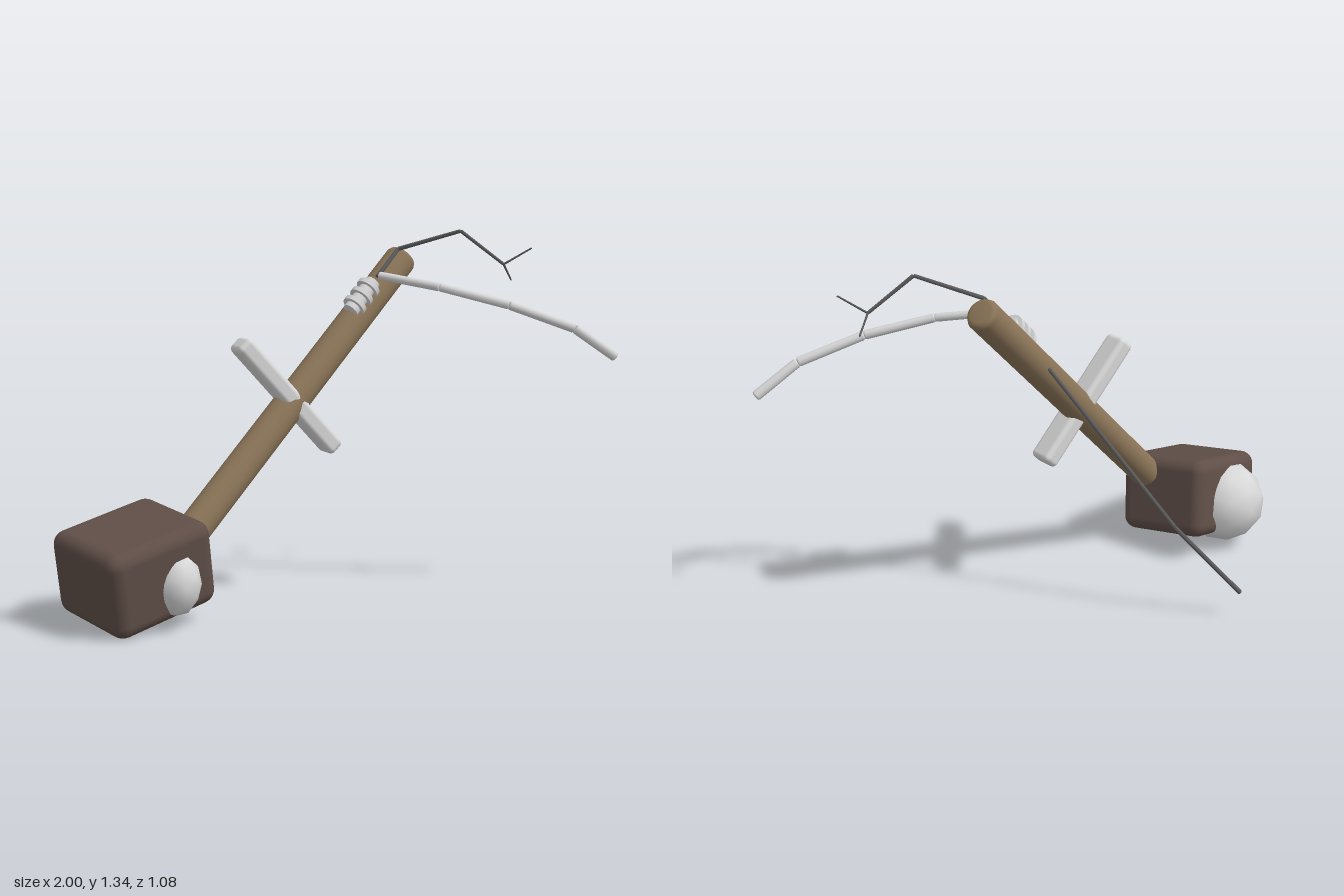
import * as THREE from 'three';
import { RoundedBoxGeometry } from 'three/addons/geometries/RoundedBoxGeometry.js';

const V = (x, y, z) => new THREE.Vector3(x, y, z);
const UP = V(0, 1, 0);

export function createModel() {
  const model = new THREE.Group();
  model.name = 'stuntedMallet';
  const mat = (name, color) => {
    const m = new THREE.MeshStandardMaterial({ color });
    m.name = name;
    return m;
  };
  const wood = mat('wood', 0x8b7558);
  const darkWood = mat('darkWood', 0x5f4e47);
  const pale = mat('pale', 0xd8d8d8);
  const darkGrey = mat('darkGrey', 0x5c5c5c);

  const add = (parent, name, geometry, material) => {
    const mesh = new THREE.Mesh(geometry, material);
    mesh.name = name;
    parent.add(mesh);
    return mesh;
  };
  const group = (name) => {
    const g = new THREE.Group();
    g.name = name;
    model.add(g);
    return g;
  };

  // Round rod with softened ends, laid from a to b
  const rod = (parent, name, a, b, r0, r1, bevel, material, sides) => {
    const h = a.distanceTo(b), k = bevel * 0.3;
    const profile = [
      [0, 0], [r0 - bevel, 0], [r0 - k, k], [r0, bevel],
      [r1, h - bevel], [r1 - k, h - k], [r1 - bevel, h], [0, h],
    ].map(([x, y]) => new THREE.Vector2(x, y));
    const mesh = add(parent, name, new THREE.LatheGeometry(profile, sides), material);
    mesh.position.copy(a);
    mesh.quaternion.setFromUnitVectors(UP, b.clone().sub(a).normalize());
    return mesh;
  };
  // Chain of rods through points, tapering from r0 to r1
  const chain = (parent, name, pts, r0, r1, material, sides) => {
    const n = pts.length - 1;
    for (let i = 0; i < n; i++) {
      const ra = r0 + (r1 - r0) * i / n, rb = r0 + (r1 - r0) * (i + 1) / n;
      rod(parent, name + (i + 1), pts[i], pts[i + 1], ra, rb, Math.min(ra, rb) * 0.4, material, sides);
    }
  };

  // Handle pole
  const poleA = V(-0.55, 0.31, 0.18), poleB = V(0.435, 1.24, -0.083);
  const axis = poleB.clone().sub(poleA).normalize();
  rod(model, 'pole', poleA, poleB, 0.06, 0.06, 0.02, wood, 24);

  // Tilted block at the foot
  const head = add(model, 'headBlock', new RoundedBoxGeometry(0.43, 0.31, 0.38, 3, 0.05), darkWood);
  const xa = V(0.95, 0.2, -0.25).normalize();
  const ya = V(0.25, -0.13, 0.96).cross(xa).normalize();
  head.quaternion.setFromRotationMatrix(
    new THREE.Matrix4().makeBasis(xa, ya, xa.clone().cross(ya)));
  head.position.set(-0.742, 0.205, 0.138);

  // Pale stones set into the block
  const stone = (name, p, s) => {
    const m = add(model, name, new THREE.IcosahedronGeometry(1, 1), pale);
    m.position.copy(p);
    m.scale.copy(s);
  };
  stone('backStone', V(-0.81, 0.183, 0), V(0.163, 0.163, 0.163));
  stone('frontStone', V(-0.64, 0.163, 0.25), V(0.092, 0.12, 0.113));

  // Crossbar through the pole
  const bar = add(model, 'crossbar', new RoundedBoxGeometry(0.55, 0.068, 0.1, 3, 0.02), pale);
  bar.position.set(-0.125, 0.755, 0.068);
  bar.rotation.z = -0.825;

  // Spool lashed to the upper pole
  const spool = group('spool');
  spool.position.set(0.212, 1.1, 0.005);
  spool.quaternion.setFromUnitVectors(UP, axis);
  add(spool, 'spoolCore', new THREE.CylinderGeometry(0.03, 0.03, 0.15, 16), pale);
  for (const y of [-0.045, 0, 0.045])
    add(spool, 'spoolFlange', new THREE.CylinderGeometry(0.045, 0.045, 0.018, 16), pale).position.y = y;

  // Jointed pale arm curving forward
  chain(group('arm'), 'armSegment', [
    V(0.262, 1.178, 0.045), V(0.415, 1.142, 0.225), V(0.62, 1.08, 0.373),
    V(0.835, 0.995, 0.478), V(0.988, 0.888, 0.52),
  ], 0.015, 0.019, pale, 10);

  // Forked twig at the top
  const twig = group('twig');
  const fork = V(0.7, 1.217, 0.208);
  chain(twig, 'twigStem',
    [V(0.28, 1.17, 0), V(0.387, 1.27, -0.035), V(0.555, 1.34, 0.138), fork], 0.009, 0.006, darkGrey, 8);
  for (const tip of [V(0.78, 1.278, 0.272), V(0.76, 1.155, 0.168)])
    chain(twig, 'twigTip', [fork, tip], 0.004, 0.003, darkGrey, 6);

  // Long thin stick trailing behind
  chain(group('trailingStick'), 'stickSegment', [
    V(0.13, 0.97, -0.06), V(0, 0.74, -0.18), V(-0.2, 0.375, -0.382), V(-0.4, 0.105, -0.533),
  ], 0.007, 0.009, darkGrey, 8);

  return model;
}
